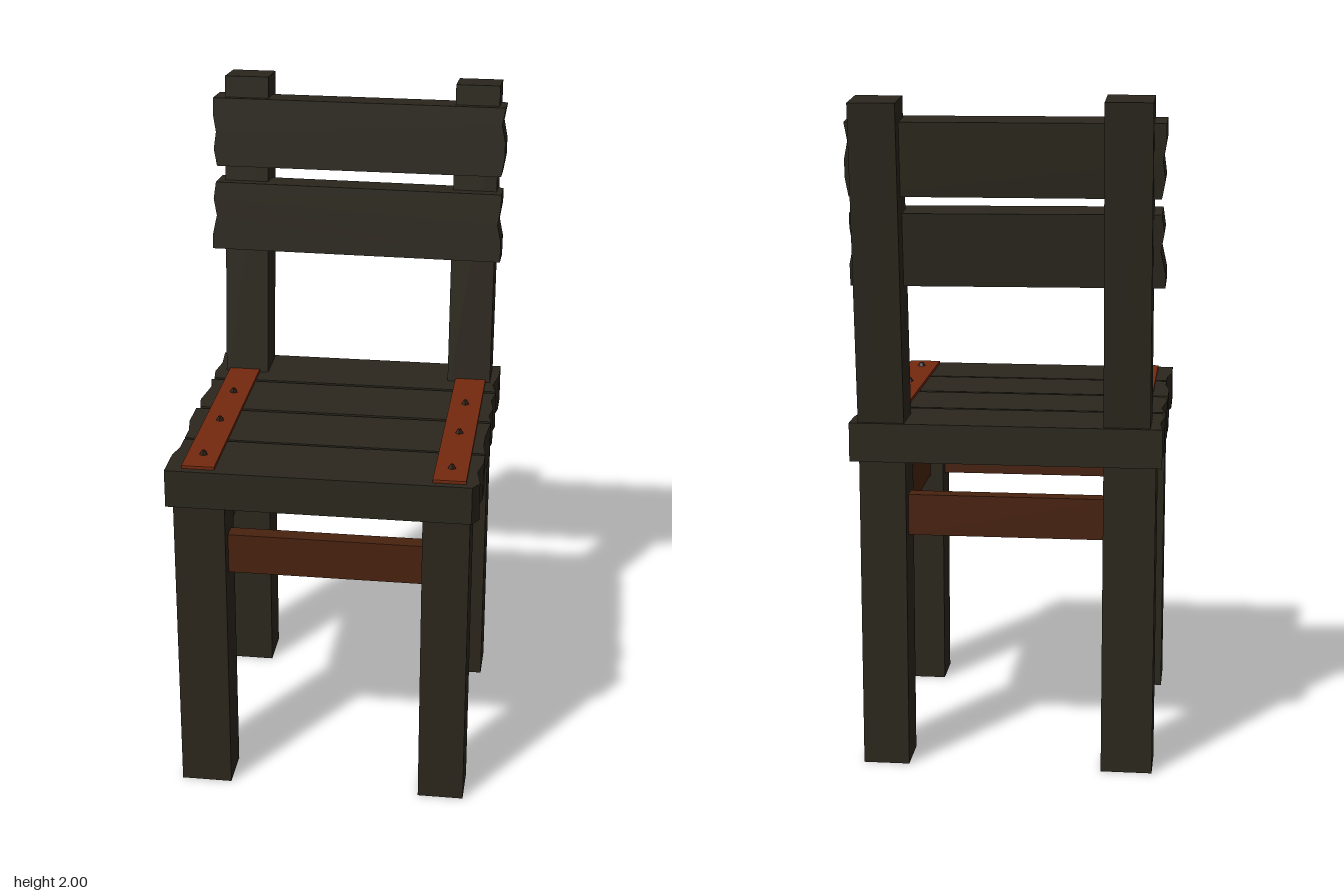
import * as THREE from 'three';

const material = (color) => new THREE.MeshStandardMaterial({ color, flatShading: true });

export function createModel() {
  const chair = new THREE.Group();
  const wood = material(0x2b271d);
  const railWood = material(0x48220f);
  const strapRust = material(0x74290f);
  const boltIron = material(0x2c1a10);

  const add = (name, geometry, mat, parent = chair) => {
    const mesh = new THREE.Mesh(geometry, mat);
    mesh.name = name;
    parent.add(mesh);
    return mesh;
  };

  // Box given by its limits on each axis
  const block = (name, [x0, x1], [y0, y1], [z0, z1], mat, parent) => {
    const mesh = add(name, new THREE.BoxGeometry(x1 - x0, y1 - y0, z1 - z0), mat, parent);
    mesh.position.set((x0 + x1) / 2, (y0 + y1) / 2, (z0 + z1) / 2);
    return mesh;
  };

  // Board with rough sawn ends; each end is a list of [fraction of width, x]
  const board = (width, thickness, left, right) => {
    const points = [
      ...left.map(([t, x]) => new THREE.Vector2(x, t * width)),
      ...[...right].reverse().map(([t, x]) => new THREE.Vector2(x, t * width)),
    ];
    return new THREE.ExtrudeGeometry(new THREE.Shape(points), { depth: thickness, bevelEnabled: false });
  };

  // Legs
  const sidesX = { left: [0.293, 0.43], right: [-0.437, -0.285] };
  const legsZ = { front: [0.355, 0.488], back: [-0.408, -0.27] };
  for (const [side, xs] of Object.entries(sidesX)) {
    for (const [end, zs] of Object.entries(legsZ)) {
      block(`${end}${side === 'left' ? 'Left' : 'Right'}Leg`, xs, [0, 0.945], zs, wood);
    }
  }

  // Rails between the legs
  const railY = [0.705, 0.828];
  block('frontRail', [-0.3, 0.3], railY, [0.395, 0.445], railWood);
  block('backRail', [-0.3, 0.3], railY, [-0.365, -0.315], railWood);
  block('leftRail', [0.335, 0.385], railY, [-0.28, 0.365], railWood);
  block('rightRail', [-0.39, -0.34], railY, [-0.28, 0.365], railWood);

  // Seat planks, front to back; end fractions run from the front edge backwards
  const planks = [
    { z: [0.28, 0.51],
      left: [[0, -0.455], [0.48, -0.455], [0.74, -0.443], [1, -0.443]],
      right: [[0, 0.435], [0.15, 0.455], [0.48, 0.442], [0.75, 0.455], [1, 0.455]] },
    { z: [0.043, 0.27],
      left: [[0, -0.443], [0.25, -0.443], [0.55, -0.455], [1, -0.455]],
      right: [[0, 0.455], [0.25, 0.446], [0.55, 0.446], [1, 0.455]] },
    { z: [-0.197, 0.03],
      left: [[0, -0.445], [0.25, -0.455], [0.75, -0.442], [1, -0.455]],
      right: [[0, 0.455], [0.2, 0.446], [0.45, 0.455], [0.72, 0.445], [1, 0.455]] },
    { z: [-0.43, -0.21],
      left: [[0, -0.447], [0.25, -0.455], [0.6, -0.446], [1, -0.455]],
      right: [[0, 0.453], [0.25, 0.441], [0.6, 0.455], [1, 0.455]] },
  ];
  const seat = new THREE.Group();
  seat.name = 'seat';
  chair.add(seat);
  planks.forEach(({ z, left, right }, i) => {
    const geometry = board(z[1] - z[0], 0.115, left, right).rotateX(-Math.PI / 2);
    add(`seatPlank${i + 1}`, geometry, wood, seat).position.set(0, 0.94, z[1]);
  });

  // Metal straps with five-sided bolts
  for (const [name, xs] of [['left', [0.32, 0.416]], ['right', [-0.408, -0.312]]]) {
    block(`${name}Strap`, xs, [1.05, 1.064], [-0.3, 0.488], strapRust);
    for (const z of [0.4, 0.145, -0.08]) {
      const bolt = add(`${name}Bolt`, new THREE.CylinderGeometry(0.006, 0.014, 0.014, 5), boltIron);
      bolt.position.set((xs[0] + xs[1]) / 2, 1.069, z);
    }
  }

  // Leaning backrest, pivoting at the front foot of its posts
  const back = new THREE.Group();
  back.name = 'backrest';
  back.position.set(0, 1.05, -0.277);
  back.rotation.x = -0.094;
  chair.add(back);
  block('leftPost', [0.295, 0.43], [-0.06, 0.948], [-0.142, -0.006], wood, back);
  block('rightPost', [-0.42, -0.285], [-0.06, 0.953], [-0.138, 0], wood, back);

  // Backrest slats
  const slats = [
    { name: 'upperSlat', y: 0.675, z: -0.09, tilt: -0.002,
      left: [[0, -0.443], [0.25, -0.453], [0.5, -0.446], [0.75, -0.455], [1, -0.455]],
      right: [[0, 0.443], [0.25, 0.452], [0.5, 0.452], [0.75, 0.441], [1, 0.45]] },
    { name: 'lowerSlat', y: 0.413, z: -0.073, tilt: -0.007,
      left: [[0, -0.455], [0.2, -0.455], [0.5, -0.442], [0.75, -0.452], [1, -0.445]],
      right: [[0, 0.45], [0.3, 0.45], [0.55, 0.438], [0.8, 0.446], [1, 0.446]] },
  ];
  for (const { name, y, z, tilt, left, right } of slats) {
    const slat = add(name, board(0.212, 0.113, left, right), wood, back);
    slat.position.set(0, y, z);
    slat.rotation.z = tilt;
  }

  return chair;
}
